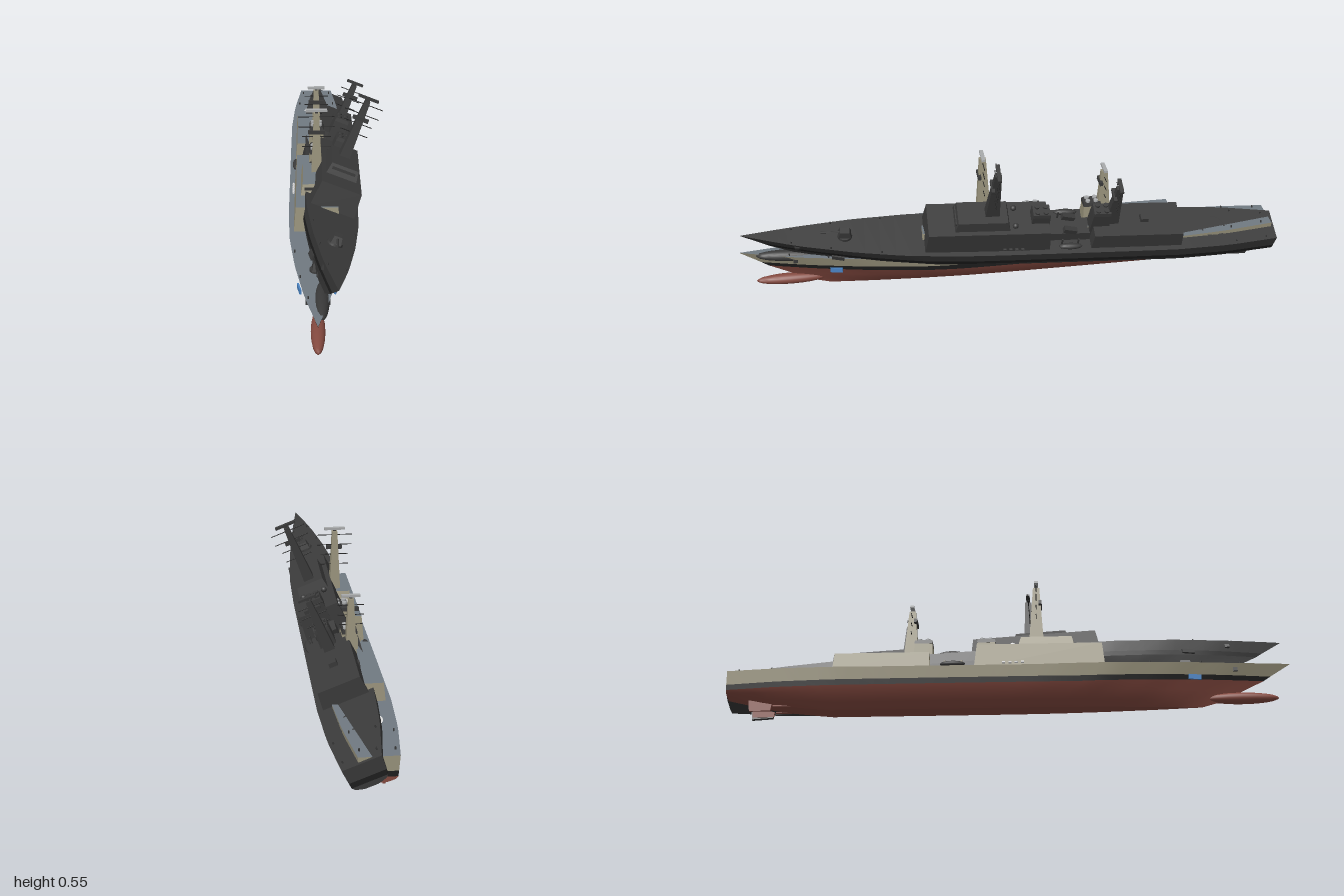
import * as THREE from 'three';

const mat = (name, color) => Object.assign(new THREE.MeshStandardMaterial({ color }), { name });
const paint = {
  red: mat('red antifouling', 0x854a40), black: mat('black boot stripe', 0x1f1f1f),
  hull: mat('khaki grey', 0x99937c), deck: mat('blue grey deck', 0x717a82),
  dark: mat('charcoal', 0x3a3a3a), light: mat('light grey', 0xa9abac),
  white: mat('white', 0xe0e0e0), blue: mat('blue', 0x4a84c4),
};

// Piecewise linear lookup in [x, y] pairs
function lookup(t, x) {
  for (let i = 1; i < t.length; i++) {
    if (x <= t[i][0]) {
      const k = (x - t[i - 1][0]) / (t[i][0] - t[i - 1][0]);
      return THREE.MathUtils.lerp(t[i - 1][1], t[i][1], Math.max(0, k));
    }
  }
  return t[t.length - 1][1];
}

// Smooth surface through rows of points
function grid(rows) {
  const n = rows[0].length, idx = [];
  for (let r = 0; r < rows.length - 1; r++) {
    for (let i = 0; i < n - 1; i++) {
      const a = r * n + i, d = a + n;
      idx.push(a, d, d + 1, a, d + 1, a + 1);
    }
  }
  const g = new THREE.BufferGeometry();
  g.setAttribute('position', new THREE.Float32BufferAttribute(rows.flat(2), 3));
  g.setIndex(idx);
  g.computeVertexNormals();
  return g;
}

const STERN = -0.99, STEPS = 36;
const BEAM = [[-1, 0.063], [-0.8, 0.088], [-0.6, 0.099], [-0.3, 0.1], [0.2, 0.1], [0.4, 0.094],
  [0.6, 0.074], [0.8, 0.043], [0.92, 0.018], [1, 0]];
const SHEER = [[-1, 0.145], [-0.5, 0.138], [0.1, 0.136], [0.5, 0.144], [0.8, 0.153], [1, 0.165]];
// Each level: stem z, width factor, height midships, at the stem and at the stern
const LEVELS = [
  { stem: 0.68, w: 0.33, y: 0.002, bow: 0.004, aft: 0.058 },
  { stem: 0.75, w: 0.59, y: 0.022, bow: 0.024, aft: 0.062 },
  { stem: 0.82, w: 0.8, y: 0.05, bow: 0.06, aft: 0.067 },
  { stem: 0.9, w: 0.91, y: 0.074, bow: 0.1, aft: 0.075 },
  { stem: 0.925, w: 0.94, y: 0.094, bow: 0.117, aft: 0.094 },
  { stem: 1, w: 1 },
];

function hullRow(level, side) {
  const pts = [];
  for (let i = 0; i <= STEPS; i++) {
    const u = i / STEPS, zDeck = STERN + (1 - STERN) * u;
    const z = STERN + (level.stem - STERN) * u;
    const y = level.y === undefined ? lookup(SHEER, zDeck)
      : lookup([[-1, level.aft], [-0.8, level.y + (level.aft - level.y) * 0.4], [-0.55, level.y],
        [0.3, level.y], [1, level.bow]], zDeck);
    pts.push([side * level.w * lookup(BEAM, zDeck), y, z]);
  }
  return pts;
}

function buildShip(name, m) {
  const ship = new THREE.Group();
  ship.name = name;
  const add = (part, geo, material, x = 0, y = 0, z = 0, parent = ship) => {
    const mesh = new THREE.Mesh(geo, material);
    mesh.name = part;
    mesh.position.set(x, y, z);
    parent.add(mesh);
    return mesh;
  };
  const box = (part, w, h, d, material, x, y, z) => add(part, new THREE.BoxGeometry(w, h, d), material, x, y + h / 2, z);
  // Box standing on y, with its top drawn in
  const block = (part, w, h, d, mats, x, y, z, tx = 0.9, tz = 0.95) => {
    const g = new THREE.BoxGeometry(w, h, d), p = g.attributes.position;
    for (let i = 0; i < p.count; i++) if (p.getY(i) > 0) p.setXYZ(i, p.getX(i) * tx, p.getY(i), p.getZ(i) * tz);
    g.computeVertexNormals();
    return add(part, g, mats, x, y + h / 2, z);
  };
  const capped = [m.hull, m.hull, m.deck, m.hull, m.hull, m.hull];

  // Hull bands, sides and transom
  const right = LEVELS.map(l => hullRow(l, 1)), left = LEVELS.map(l => hullRow(l, -1));
  const bands = [['lowerHull', 0, 3, m.red], ['bootStripe', 3, 4, m.black], ['topsides', 4, 5, m.hull]];
  for (const [part, a, b, material] of bands) {
    add(part, grid(right.slice(a, b + 1)), material);
    add(part, grid(left.slice(a, b + 1).reverse()), material);
    const transom = [];
    for (let k = a; k <= b; k++) transom.push([left[k][0], right[k][0]]);
    add('transom', grid(transom), material);
  }
  add('keelPlate', grid([left[0], right[0]]), m.red);
  add('deck', grid([right[5], left[5]]), m.deck);

  // Bulb, rudders and shafts
  const bulb = add('bowBulb', new THREE.SphereGeometry(1, 16, 12), m.red, 0, 0.036, 0.82);
  bulb.scale.set(0.023, 0.02, 0.13);
  for (const s of [-1, 1]) {
    block('rudder', 0.008, 0.055, 0.075, m.red, s * 0.03, 0.004, -0.87, 1, 1.2);
    const shaft = add('propellerShaft', new THREE.CylinderGeometry(0.005, 0.005, 0.25, 8), m.red, s * 0.03, 0.022, -0.7);
    shaft.rotation.x = Math.PI / 2;
    // Blue plates and anchors on the bow
    const plate = box('bowPlate', 0.006, 0.018, 0.045, m.blue, s * 0.06, 0.086, 0.655);
    plate.rotation.y = -s * 0.2;
    box('anchor', 0.008, 0.014, 0.016, m.dark, s * 0.035, 0.125, 0.8);
  }

  // Superstructure
  block('forwardHouse', 0.162, 0.096, 0.46, capped, 0, 0.132, 0.115, 0.9, 0.96);
  block('bridge', 0.112, 0.038, 0.2, capped, 0, 0.228, 0.14, 0.88, 0.9);
  block('aftHouse', 0.16, 0.068, 0.345, capped, 0, 0.134, -0.442, 0.92, 0.97);
  block('hangarVent', 0.03, 0.016, 0.03, m.dark, 0, 0.202, -0.47);
  block('midHouse', 0.08, 0.04, 0.16, m.dark, 0, 0.132, -0.19);
  box('bridgeWindows', 0.085, 0.009, 0.004, m.dark, 0, 0.247, 0.237);

  // Funnels with twin exhausts
  for (const z of [-0.075, -0.3]) {
    block('funnel', 0.062, 0.12, 0.075, m.hull, 0, 0.14, z, 0.85, 0.85);
    block('funnelCap', 0.054, 0.014, 0.066, m.dark, 0, 0.258, z);
    for (const dz of [-0.015, 0.015]) for (const dx of [-0.013, 0.013])
      add('exhaust', new THREE.CylinderGeometry(0.009, 0.009, 0.008, 10), m.light, dx, 0.275, z + dz);
  }

  // Masts with yards and radars
  const mast = (z, base, top, yards, plateY, half) => {
    block('mast', 0.038, top - base, 0.052, m.hull, 0, base, z, 0.48, 0.45);
    for (const [y, w] of yards) {
      const yard = add('yard', new THREE.CylinderGeometry(0.0015, 0.0015, w * 2, 6), m.black, 0, y, z);
      yard.rotation.z = Math.PI / 2;
    }
    box('radarPanel', 0.058, 0.013, 0.012, m.dark, 0, plateY - 0.006, z + 0.014);
    box('radarPost', 0.01, 0.008, 0.01, m.dark, 0, top, z);
    box('topRadar', half * 2, 0.008, 0.014, m.light, 0, top + 0.005, z);
  };
  mast(0.105, 0.262, 0.483, [[0.355, 0.051], [0.393, 0.051], [0.43, 0.064], [0.468, 0.064]], 0.415, 0.038);
  mast(-0.345, 0.2, 0.395, [[0.3, 0.04], [0.335, 0.045], [0.37, 0.045]], 0.35, 0.032);

  // Foredeck gun
  add('gunBase', new THREE.CylinderGeometry(0.026, 0.028, 0.012, 14), m.dark, 0, 0.15, 0.63);
  block('gunTurret', 0.036, 0.026, 0.048, m.dark, 0, 0.155, 0.63, 0.75, 0.7);
  add('gunBarrel', new THREE.CylinderGeometry(0.003, 0.004, 0.07, 8), m.dark, 0, 0.172, 0.68).rotation.x = Math.PI / 2;

  // Boats, launchers, rafts and bollards along the sides
  for (const s of [-1, 1]) {
    const boat = add('boat', new THREE.SphereGeometry(1, 12, 8), m.dark, s * 0.078, 0.152, -0.19);
    boat.scale.set(0.013, 0.011, 0.045);
    box('davit', 0.004, 0.035, 0.006, m.hull, s * 0.062, 0.137, -0.22);
    box('davit', 0.004, 0.035, 0.006, m.hull, s * 0.062, 0.137, -0.16);
    const launcher = box('launcher', 0.02, 0.02, 0.05, m.dark, s * 0.03, 0.176, -0.19);
    launcher.rotation.x = -0.25;
    for (let i = 0; i < 4; i++) {
      const raft = add('lifeRaft', new THREE.CylinderGeometry(0.0045, 0.0045, 0.011, 8), m.white, s * 0.085, 0.152, -0.01 + i * 0.022);
      raft.rotation.x = Math.PI / 2;
    }
    for (const [x, z] of [[0.03, 0.82], [0.055, 0.68], [0.075, 0.5], [0.07, -0.83], [0.055, -0.95]])
      add('bollard', new THREE.CylinderGeometry(0.003, 0.003, 0.01, 6), m.dark, s * x, lookup(SHEER, z) + 0.004, z);
    add('sensorDome', new THREE.SphereGeometry(0.011, 12, 8), m.white, s * 0.04, 0.236, 0.02);
  }

  // Landing circle on the quarterdeck
  const ring = add('landingCircle', new THREE.RingGeometry(0.042, 0.049, 32), m.white, 0, 0.1445, -0.75);
  ring.rotation.x = -Math.PI / 2;
  return ship;
}

export function createModel() {
  const model = new THREE.Group();
  model.name = 'twoShips';

  // Upright painted ship
  const painted = buildShip('paintedShip', paint);
  painted.position.x = -0.067;

  // Charcoal ship, heeled over and raised at the bow
  const d = paint.dark;
  const heeled = buildShip('heeledShip', { red: d, black: paint.black, hull: d, deck: d, dark: d, light: d, white: d, blue: d });
  heeled.position.set(-0.067, 0.06, -0.004);
  heeled.rotation.set(-0.064, 0, -0.384);

  model.add(painted, heeled);
  return model;
}
